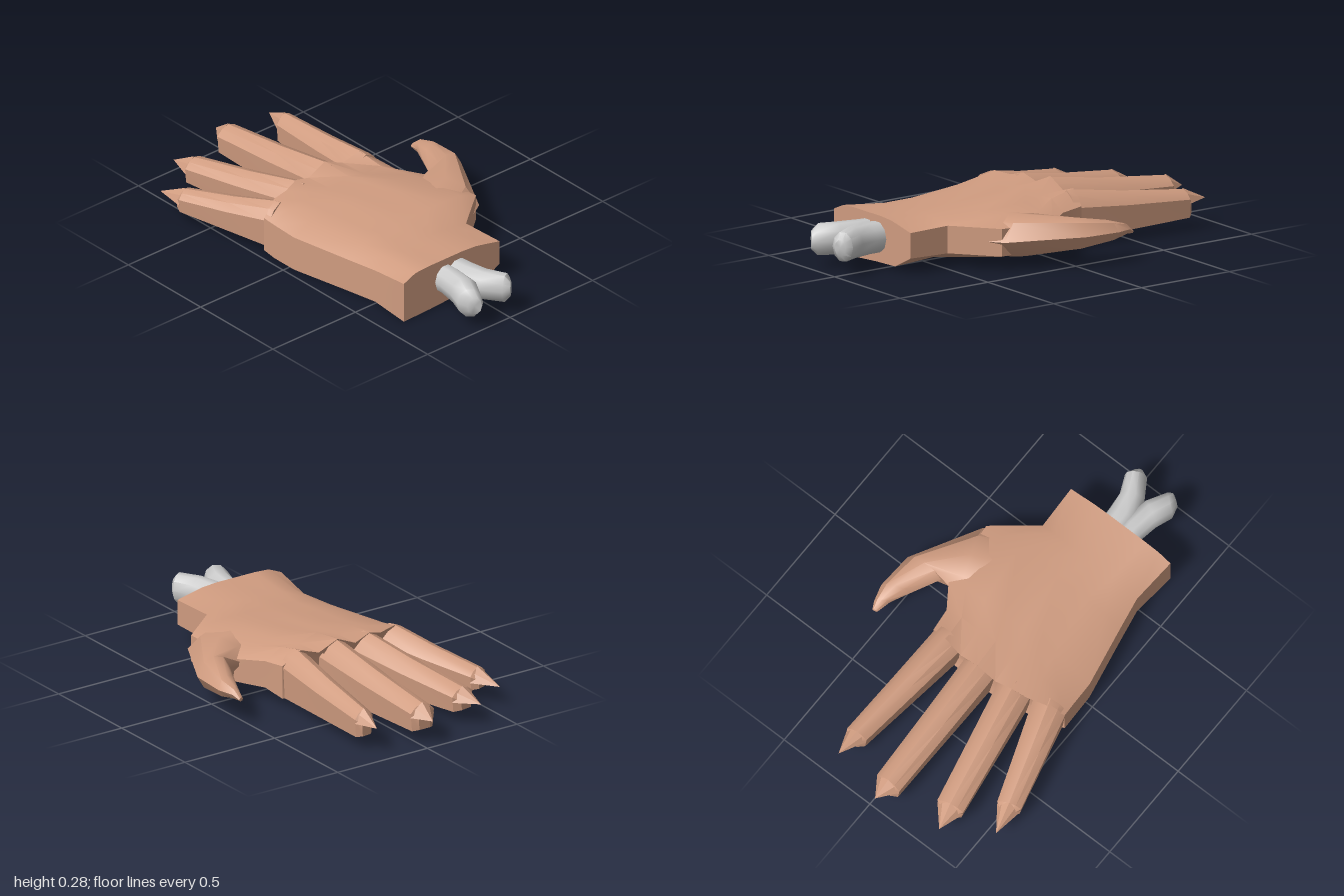
import * as THREE from 'three';
import { toCreasedNormals } from 'three/addons/utils/BufferGeometryUtils.js';

const skin = new THREE.MeshStandardMaterial({ color: 0xd09c80 });
const boneGrey = new THREE.MeshStandardMaterial({ color: 0xcccccc });

// Skin a list of equal-length rings of [x, y, z] and close both ends.
function loft(name, rings, material, crease = 0.6) {
  const n = rings[0].length;
  const pos = [];
  const tri = (a, b, c) => pos.push(...a, ...b, ...c);
  for (let r = 0; r < rings.length - 1; r++) {
    for (let i = 0; i < n; i++) {
      const j = (i + 1) % n;
      const [a, b, c, d] = [rings[r][i], rings[r][j], rings[r + 1][j], rings[r + 1][i]];
      tri(a, b, c);
      tri(a, c, d);
    }
  }
  const cap = (ring, flip) => {
    const mid = [0, 1, 2].map(k => ring.reduce((s, p) => s + p[k], 0) / n);
    for (let i = 0; i < n; i++) {
      const a = ring[i], b = ring[(i + 1) % n];
      flip ? tri(mid, b, a) : tri(mid, a, b);
    }
  };
  cap(rings[0], true);
  cap(rings[rings.length - 1], false);
  // Turn every face outward if the enclosed volume is negative
  let volume = 0;
  const v = [0, 1, 2].map(() => new THREE.Vector3());
  for (let i = 0; i < pos.length; i += 9) {
    v.forEach((p, k) => p.fromArray(pos, i + k * 3));
    volume += v[0].dot(v[1].clone().cross(v[2]));
  }
  if (volume < 0) {
    for (let i = 0; i < pos.length; i += 9) {
      for (let k = 0; k < 3; k++) [pos[i + 3 + k], pos[i + 6 + k]] = [pos[i + 6 + k], pos[i + 3 + k]];
    }
  }
  const geo = new THREE.BufferGeometry();
  geo.setAttribute('position', new THREE.Float32BufferAttribute(pos, 3));
  const mesh = new THREE.Mesh(toCreasedNormals(geo, crease), material);
  mesh.name = name;
  return mesh;
}

// Ring between two side points a, b ([x, z]); profile is [across 0..1, height 0..1]
function ring(a, b, low, high, profile) {
  return profile.map(([s, h]) => [
    THREE.MathUtils.lerp(a[0], b[0], s),
    THREE.MathUtils.lerp(low, high, h),
    THREE.MathUtils.lerp(a[1], b[1], s),
  ]);
}

const fingerProfile = [[0.06, 0], [0.94, 0], [1, 0.68], [0.78, 0.9], [0.5, 1], [0.22, 0.9], [0, 0.68]];
const thumbProfile = [[0.2, 0.1], [0.5, 0], [0.85, 0.12], [1, 0.5], [0.8, 0.9], [0.5, 1], [0.2, 0.9], [0, 0.5]];
const nailProfile = [[0, 0], [0.5, 0.55], [1, 0], [0.8, 0.65], [0.5, 1], [0.2, 0.65]];

function palm() {
  const topF = [0, 0.12, 0.25, 0.39, 0.53, 0.65, 0.75, 0.88, 1];
  const botF = [1, 0.72, 0.45, 0.2, 0];
  // x, thumb-side z, outer z, back heights, underside heights
  const sections = [
    [0.71, -0.19, 0.39, [0.2, 0.215, 0.23, 0.235, 0.235, 0.235, 0.235, 0.23, 0.2], [0, 0.005, 0.015, 0.02, 0.08]],
    [0.49, -0.18, 0.37, [0.2, 0.21, 0.22, 0.225, 0.225, 0.22, 0.22, 0.21, 0.165], [0, 0.01, 0.02, 0.03, 0.07]],
    [0.33, -0.38, 0.40, [0.2, 0.235, 0.24, 0.24, 0.235, 0.23, 0.225, 0.21, 0.165], [0, 0.01, 0.03, 0.04, 0.07]],
    [0.03, -0.36, 0.46, [0.18, 0.22, 0.235, 0.25, 0.24, 0.24, 0.225, 0.215, 0.17], [0, 0.01, 0.03, 0.03, 0.07]],
    [-0.10, -0.27, 0.465, [0.19, 0.24, 0.235, 0.265, 0.237, 0.25, 0.235, 0.23, 0.18], [0.005, 0.01, 0.025, 0.03, 0.06]],
    [-0.25, -0.255, 0.47, [0.2, 0.265, 0.235, 0.28, 0.235, 0.262, 0.24, 0.245, 0.19], [0.02, 0.03, 0.03, 0.03, 0.04]],
  ];
  const rings = sections.map(([x, z0, z1, tops, bots], r) => {
    // The knuckle line curves back toward the little finger
    const bend = f => (r === 5 ? 0.085 * ((f - 0.39) / 0.61) ** 2 : 0);
    const point = (f, y) => [x + bend(f), y, z0 + (z1 - z0) * f];
    return [...topF.map((f, i) => point(f, tops[i])), ...botF.map((f, i) => point(f, bots[i]))];
  });
  return loft('palm', rings, skin, 0.7);
}

// Finger from base pair a-b to end pair c-d, with a hooked nail on top of the end
function finger(name, a, b, c, d, tip, baseTop, endTop, tipY) {
  const group = new THREE.Group();
  group.name = name;
  const mix = (p, q, t) => [p[0] + (q[0] - p[0]) * t, p[1] + (q[1] - p[1]) * t];
  const rings = [-0.06, 0, 0.45, 1].map(t => {
    const top = THREE.MathUtils.lerp(baseTop, endTop, t < 0 ? 0 : t) - (t === 0.45 ? 0.006 : 0);
    return ring(mix(a, c, t), mix(b, d, t), 0.04 + 0.018 * Math.max(t, 0), top, fingerProfile);
  });
  // Blunt fingertip
  const inset = [mix(c, d, 0.18), mix(c, d, 0.82)].map(p => mix(p, tip, 0.22));
  rings.push(ring(inset[0], inset[1], 0.065, endTop - 0.03, fingerProfile));
  group.add(loft(name + 'Body', rings, skin, 0.5));
  const nailTip = nailProfile.map(() => [tip[0], tipY, tip[1]]);
  const nailBase = ring(c, d, endTop - 0.06, endTop + 0.004, nailProfile);
  group.add(loft(name + 'Nail', [nailBase, nailTip], skin, 0.4));
  return group;
}

function thumb() {
  const rings = [
    [[0.47, -0.16], [0.1, 0], 0.04, 0.225],
    [[0.33, -0.4], [0, -0.28], 0.04, 0.237],
    [[0, -0.578], [0.01, -0.39], 0.075, 0.228],
    [[-0.18, -0.588], [-0.13, -0.46], 0.1, 0.2],
    [[-0.26, -0.565], [-0.22, -0.505], 0.12, 0.175],
    [[-0.292, -0.55], [-0.285, -0.525], 0.12, 0.138],
  ].map(([a, b, low, high]) => ring(a, b, low, high, thumbProfile));
  return loft('thumb', rings, skin, 0.7);
}

// Forearm bone from paired outline points, each ring an octagon
function bone(name, pairs) {
  const profile = Array.from({ length: 10 }, (_, i) => {
    const t = (i / 10) * Math.PI * 2;
    return [0.5 + 0.5 * Math.cos(t), 0.5 + 0.5 * Math.sin(t)];
  });
  return loft(name, pairs.map(([a, b, low, high]) => ring(a, b, low, high, profile)), boneGrey, 0.9);
}

export function createModel() {
  const model = new THREE.Group();
  model.name = 'hand';
  model.add(palm(), thumb());
  model.add(
    finger('indexFinger', [-0.22, -0.252], [-0.235, -0.1], [-0.82, -0.277], [-0.81, -0.172], [-0.935, -0.235], 0.262, 0.185, 0.13),
    finger('middleFinger', [-0.245, -0.055], [-0.245, 0.105], [-0.91, -0.03], [-0.91, 0.1], [-1, 0.03], 0.276, 0.185, 0.125),
    finger('ringFinger', [-0.24, 0.135], [-0.21, 0.295], [-0.83, 0.258], [-0.805, 0.388], [-0.93, 0.348], 0.26, 0.165, 0.11),
    finger('littleFinger', [-0.2, 0.31], [-0.165, 0.47], [-0.665, 0.475], [-0.625, 0.583], [-0.78, 0.56], 0.243, 0.155, 0.095),
  );
  // Two crossed bones spreading out of the wrist
  model.add(
    bone('innerBone', [
      [[0.6, -0.005], [0.6, 0.13], 0.06, 0.2],
      [[0.76, -0.008], [0.78, 0.13], 0.06, 0.21],
      [[0.85, -0.017], [0.89, 0.095], 0.06, 0.21],
      [[0.935, -0.055], [0.985, 0.035], 0.065, 0.208],
      [[0.965, -0.04], [1, 0], 0.1, 0.175],
    ]),
    bone('outerBone', [
      [[0.6, 0.08], [0.6, 0.2], 0.06, 0.2],
      [[0.76, 0.08], [0.74, 0.2], 0.06, 0.205],
      [[0.89, 0.095], [0.83, 0.215], 0.055, 0.208],
      [[0.985, 0.15], [0.91, 0.243], 0.055, 0.205],
      [[1, 0.17], [0.965, 0.228], 0.085, 0.175],
    ]),
  );
  return model;
}
